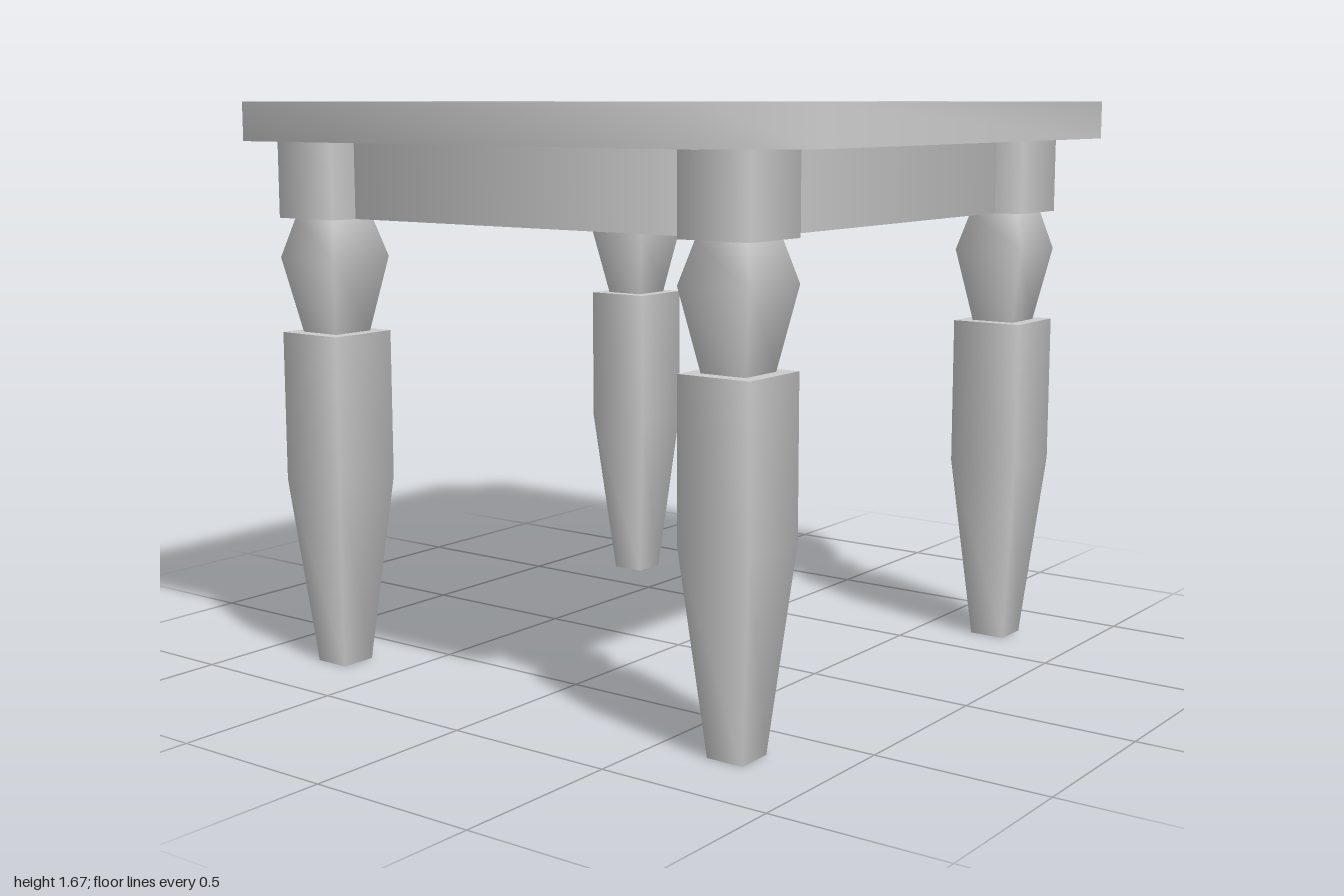
import * as THREE from 'three';
import { toCreasedNormals } from 'three/addons/utils/BufferGeometryUtils.js';

const grey = new THREE.MeshStandardMaterial({ color: 0xcccccc });
grey.name = 'plain grey';

// Square lathe: profile of [half width, height]; a repeated point keeps an edge sharp
function squareTurned(profile, name) {
  const points = profile.map(([w, y]) => new THREE.Vector2(w * Math.SQRT2, y));
  const mesh = new THREE.Mesh(new THREE.LatheGeometry(points, 4, Math.PI / 4), grey);
  mesh.name = name;
  return mesh;
}

// Solid square piece with flat ends
function solid(profile, name) {
  const first = profile[0];
  const last = profile[profile.length - 1];
  return squareTurned([[0, first[1]], first, ...profile, last, [0, last[1]]], name);
}

function createLeg() {
  const leg = new THREE.Group();
  leg.add(
    solid([[0.055, 0], [0.11, 0.56], [0.11, 1.0]], 'lowerLeg'),
    solid([[0.068, 1.0], [0.11, 1.22], [0.078, 1.335]], 'legNeck'),
    solid([[0.11, 1.335], [0.11, 1.56]], 'legBlock')
  );
  return leg;
}

export function createModel() {
  const model = new THREE.Group();
  model.name = 'table';

  // Tabletop: square slab with clipped corners
  const c = 0.78;
  const outline = new THREE.Shape(
    [[1, -c], [1, c], [c, 1], [-c, 1], [-1, c], [-1, -c], [-c, -1], [c, -1]]
      .map(([x, y]) => new THREE.Vector2(x, y))
  );
  const slab = new THREE.ExtrudeGeometry(outline, { depth: 0.11, bevelEnabled: false });
  slab.rotateX(-Math.PI / 2);
  slab.translate(0, 1.56, 0);
  const top = new THREE.Mesh(toCreasedNormals(slab, Math.PI / 3), grey);
  top.name = 'tabletop';
  model.add(top);

  // Apron: hollow square frame joining the legs
  const corners = [[0.74, 1.335], [0.74, 1.56], [0.7, 1.56], [0.7, 1.335], [0.74, 1.335]];
  const profile = corners.flatMap((p, i) => (i > 0 && i < 4 ? [p, p] : [p]));
  model.add(squareTurned(profile, 'apron'));

  // Four legs
  for (const x of [-0.72, 0.72]) {
    for (const z of [-0.72, 0.72]) {
      const leg = createLeg();
      leg.name = (z > 0 ? 'front' : 'back') + (x > 0 ? 'Left' : 'Right') + 'Leg';
      leg.position.set(x, 0, z);
      model.add(leg);
    }
  }
  return model;
}
